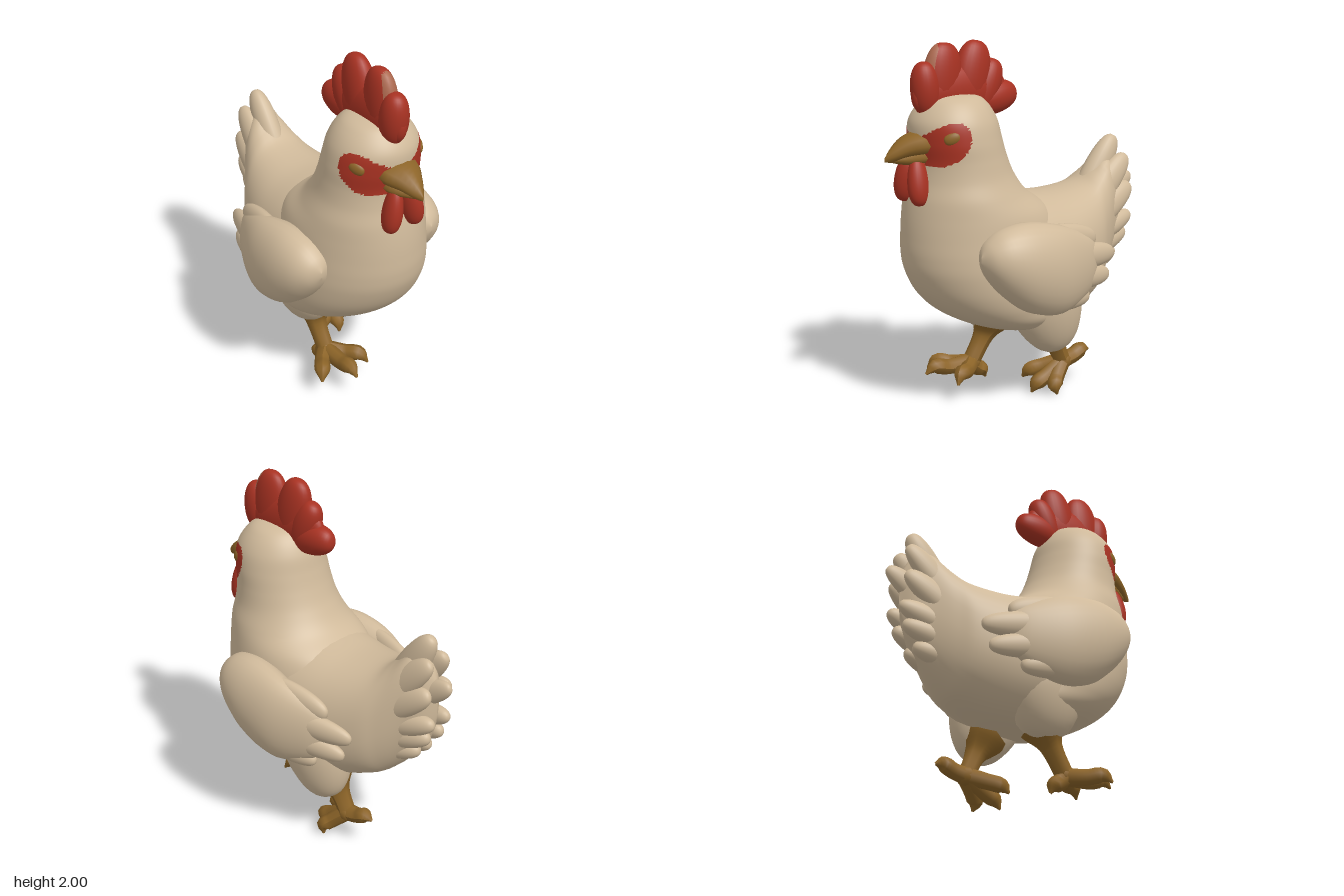
import * as THREE from 'three';
import { mergeVertices } from 'three/addons/utils/BufferGeometryUtils.js';

const paint = (name, color) => {
  const m = new THREE.MeshStandardMaterial({ color });
  m.name = name;
  return m;
};
const V = (p) => new THREE.Vector3(...p);
const mirror = ([x, y, z]) => [-x, y, z];

// Smooth interpolation through rows of numbers
function sample(rows, t) {
  const last = rows.length - 1;
  const i = Math.min(Math.floor(t * last), last - 1), f = t * last - i;
  const at = (k) => rows[Math.max(0, Math.min(last, k))];
  return rows[i].map((b, c) => {
    const a = at(i - 1)[c], d = at(i + 1)[c], e = at(i + 2)[c];
    return b + 0.5 * f * (d - a + f * (2 * a - 5 * b + 4 * d - e + f * (3 * (b - d) + e - a)));
  });
}

// Skin over oval sections; each row is [position, low, high, halfWidth, centreX]
function loft(rows, axis, seg, steps, power = 1) {
  const pos = [], index = [];
  const bend = (v) => Math.sign(v) * Math.abs(v) ** power;
  for (let i = 0; i <= steps; i++) {
    const [t, lo, hi, w, cx = 0] = sample(rows, i / steps);
    for (let j = 0; j < seg; j++) {
      const a = (j / seg) * Math.PI * 2;
      const x = cx + Math.max(w, 0) * bend(Math.cos(a));
      const s = ((hi - lo) / 2) * bend(Math.sin(a)), mid = (lo + hi) / 2;
      if (axis === 'z') pos.push(x, mid + s, t);
      else pos.push(x, t, mid - s);
      if (i < steps) {
        const p = i * seg + j, q = i * seg + ((j + 1) % seg);
        index.push(p, q, q + seg, p, q + seg, p + seg);
      }
    }
  }
  const g = new THREE.BufferGeometry();
  g.setAttribute('position', new THREE.Float32BufferAttribute(pos, 3));
  g.setIndex(index);
  g.computeVertexNormals();
  return g;
}

// Blunt, flattened lobe reaching from a to b; taper widens the b end
function lobe(a, b, width, thick, normal = [1, 0, 0], taper = 0) {
  const A = V(a), B = V(b), len = A.distanceTo(B);
  const Y = B.clone().sub(A).normalize();
  const Z = V(normal).addScaledVector(Y, -V(normal).dot(Y)).normalize();
  const X = new THREE.Vector3().crossVectors(Y, Z);
  let g = new THREE.SphereGeometry(1, 24, 22);
  g.deleteAttribute('uv');
  g.deleteAttribute('normal');
  g = mergeVertices(g);
  const p = g.attributes.position;
  for (let i = 0; i < p.count; i++) {
    const y = p.getY(i), r = Math.max(Math.hypot(p.getX(i), p.getZ(i)), 1e-4);
    const k = r ** -0.25 * (1 + taper * y);
    p.setXYZ(i, p.getX(i) * k * width / 2, y * len / 2, p.getZ(i) * k * thick / 2);
  }
  g.applyMatrix4(new THREE.Matrix4().makeBasis(X, Y, Z).setPosition(A.add(B).multiplyScalar(0.5)));
  g.computeVertexNormals();
  return g;
}

// Tube along points with a radius for each point
function limb(points, radii) {
  const curve = new THREE.CatmullRomCurve3(points.map(V)), n = 14, sides = 8;
  const g = new THREE.TubeGeometry(curve, n, 1, sides);
  const p = g.attributes.position, v = new THREE.Vector3();
  for (let i = 0; i <= n; i++) {
    const c = curve.getPointAt(i / n);
    const r = sample(radii.map((q) => [q]), curve.getUtoTmapping(i / n))[0];
    for (let j = 0; j <= sides; j++) {
      const k = i * (sides + 1) + j;
      v.fromBufferAttribute(p, k).sub(c).multiplyScalar(Math.max(r, 0.003)).add(c);
      p.setXYZ(k, v.x, v.y, v.z);
    }
  }
  g.computeVertexNormals();
  return g;
}

// Give faces whose centre passes the test the second material
function markFaces(g, test) {
  const p = g.attributes.position, old = g.index.array, sets = [[], []];
  for (let i = 0; i < old.length; i += 3) {
    const c = new THREE.Vector3(), f = [old[i], old[i + 1], old[i + 2]];
    f.forEach((k) => c.add(new THREE.Vector3().fromBufferAttribute(p, k)));
    sets[test(c.divideScalar(3)) ? 1 : 0].push(...f);
  }
  g.setIndex([...sets[0], ...sets[1]]);
  g.addGroup(0, sets[0].length, 0);
  g.addGroup(sets[0].length, sets[1].length, 1);
  return g;
}

export function createModel() {
  const cream = paint('cream feathers', 0xd0ba9b);
  const red = paint('red skin', 0xa83222);
  const horn = paint('horn brown', 0x8c6428);
  const pale = paint('pale comb patch', 0xab684e);
  const root = new THREE.Group();
  root.name = 'hen';
  const add = (name, geo, mat) => {
    const m = new THREE.Mesh(geo, mat);
    m.name = name;
    root.add(m);
  };

  // Body running from tail to breast
  add('body', loft([
    [-0.74, 0.95, 1.12, 0], [-0.69, 0.79, 1.24, 0.075], [-0.6, 0.66, 1.3, 0.14], [-0.5, 0.55, 1.225, 0.21],
    [-0.4, 0.48, 1.165, 0.275], [-0.2, 0.41, 1.145, 0.345], [0, 0.39, 1.17, 0.375], [0.2, 0.425, 1.2, 0.37],
    [0.4, 0.52, 1.2, 0.32], [0.55, 0.64, 1.15, 0.2], [0.63, 0.76, 1.05, 0.09], [0.66, 0.88, 0.92, 0],
  ], 'z', 40, 55, 0.88), cream);

  // Breast, neck and head, with red cheeks slanting down to the beak
  const front = loft([
    [0.41, -0.05, 0.12, 0], [0.44, -0.15, 0.25, 0.24], [0.5, -0.2, 0.4, 0.335], [0.58, -0.2, 0.525, 0.37],
    [0.68, -0.2, 0.615, 0.384], [0.8, -0.2, 0.672, 0.384], [0.9, -0.2, 0.69, 0.377], [1.0, -0.2, 0.69, 0.367],
    [1.1, -0.14, 0.683, 0.35], [1.2, 0.0, 0.668, 0.32], [1.3, 0.075, 0.645, 0.285], [1.4, 0.12, 0.635, 0.268],
    [1.5, 0.15, 0.645, 0.258], [1.6, 0.175, 0.64, 0.235], [1.68, 0.22, 0.59, 0.185], [1.725, 0.28, 0.53, 0.12],
    [1.745, 0.39, 0.42, 0],
  ], 'y', 96, 128);
  add('head', markFaces(front, (c) => {
    const dz = c.z - 0.56, dy = c.y - 1.5;
    return Math.abs(c.x) > 0.07 &&
      ((0.73 * dy - 0.68 * dz) / 0.13) ** 2 + ((0.73 * dz + 0.68 * dy) / 0.087) ** 2 < 1;
  }), [cream, red]);

  // Beak
  add('upperBeak', loft([
    [0.54, 1.43, 1.555, 0.11], [0.63, 1.43, 1.555, 0.12], [0.71, 1.425, 1.53, 0.078],
    [0.78, 1.41, 1.48, 0.034], [0.82, 1.415, 1.435, 0],
  ], 'z', 10, 12), horn);
  add('lowerBeak', loft([
    [0.54, 1.39, 1.47, 0.09], [0.63, 1.385, 1.47, 0.095], [0.71, 1.39, 1.45, 0.058], [0.79, 1.41, 1.43, 0],
  ], 'z', 10, 9), horn);

  // Comb
  [[[0, 1.63, 0.56], [0, 1.91, 0.58], 0.16], [[0, 1.6, 0.34], [0, 2.0, 0.25], 0.22],
    [[0, 1.6, 0.27], [0, 1.895, 0.14], 0.17], [[0, 1.67, 0.3], [0, 1.715, 0.01], 0.18],
    [[0, 1.74, 0.65], [0, 1.74, 0.08], 0.3]]
    .forEach(([a, b, w]) => add('combLobe', lobe(a, b, w, 0.15), red));
  add('combFrontLobe', markFaces(lobe([0, 1.6, 0.49], [0, 2.0, 0.45], 0.23, 0.14),
    (c) => c.y > 1.86 && c.z > 0.5 + (1.99 - c.y) * 0.35), [red, pale]);

  // Middle tail feathers
  [[[0, 0.9, -0.35], [0, 1.16, -0.82], 0.15, 0.1], [[0, 0.95, -0.4], [0, 1.4, -0.69], 0.17, 0.14]]
    .forEach(([a, b, w, t]) => add('tailFeather', lobe(a, b, w, t), cream));

  for (const flip of [(p) => p, mirror]) {
    const side = flip === mirror ? 'right' : 'left';
    const feather = (name, mat, a, b, w, t, n, taper) => add(name, lobe(flip(a), flip(b), w, t, flip(n), taper), mat);

    // Fanned tail feathers
    [[[0.09, 0.9, -0.32], [0.06, 1.29, -0.735], 0.17], [[0.12, 0.85, -0.3], [0.08, 1.12, -0.75], 0.17],
      [[0.11, 0.8, -0.3], [0.06, 0.94, -0.77], 0.14], [[0.11, 0.74, -0.3], [0.05, 0.84, -0.74], 0.14],
      [[0.1, 0.66, -0.3], [0.04, 0.73, -0.67], 0.13]]
      .forEach(([a, b, w]) => feather('tailFeather', cream, a, b, w, 0.12, [1, 0, 0.3]));

    // Wing and its long feathers
    const s = flip === mirror ? -1 : 1;
    add(side + 'Wing', loft([
      [-0.3, 0.74, 0.87, 0, 0.36], [-0.2, 0.63, 0.96, 0.065, 0.375], [0, 0.56, 1.05, 0.125, 0.4],
      [0.2, 0.6, 1.09, 0.155, 0.388], [0.35, 0.71, 1.07, 0.14, 0.375], [0.44, 0.82, 1.01, 0.09, 0.365],
      [0.48, 0.91, 0.94, 0, 0.37],
    ].map((r) => [...r.slice(0, 4), r[4] * s]), 'z', 28, 30), cream);
    [[[0.4, 1.0, 0.12], [0.345, 0.92, -0.28], 0.16], [[0.46, 0.88, 0.1], [0.32, 0.815, -0.43], 0.15],
      [[0.46, 0.77, 0.1], [0.33, 0.7, -0.39], 0.14], [[0.44, 0.66, 0.14], [0.37, 0.615, -0.22], 0.13]]
      .forEach(([a, b, w]) => feather(side + 'WingFeather', cream, a, b, w, 0.1, [1, 0, -0.15]));

    // Eye and wattle
    feather(side + 'Eye', horn, [0.178, 1.52, 0.572], [0.218, 1.55, 0.5], 0.065, 0.04, [1, 0, 0.8]);
    feather(side + 'Wattle', red, [0.04, 1.43, 0.655], [0.08, 1.18, 0.66], 0.105, 0.13, [0.3, 0, 1], 0.15);
  }

  // Thighs blending into the belly
  add('rightThigh', lobe([-0.19, 0.82, 0.02], [-0.17, 0.335, 0.08], 0.46, 0.34, [1, 0, 0], -0.15), cream);
  add('leftThigh', lobe([0.19, 0.82, 0.02], [0.2, 0.275, -0.15], 0.44, 0.34, [1, 0, 0], -0.2), cream);

  // Striding legs: shank, then toes fanning from the ankle
  const leg = (side, shank, toes) => {
    const ankle = shank[shank.length - 1];
    add(side + 'Shank', limb(shank, [0.13, 0.062, 0.05]), horn);
    add(side + 'Ankle', new THREE.SphereGeometry(0.056, 10, 8).translate(...ankle), horn);
    toes.forEach((t) => add(side + 'Toe', limb([ankle, ...t], [0.05, 0.045, 0.042, 0.006]), horn));
  };
  leg('right', [[-0.14, 0.41, 0.08], [-0.15, 0.31, 0.12], [-0.15, 0.16, 0.21]], [
    [[-0.15, 0.165, 0.37], [-0.15, 0.185, 0.45], [-0.15, 0.15, 0.51]],
    [[-0.23, 0.15, 0.29], [-0.28, 0.16, 0.36], [-0.31, 0.12, 0.4]],
    [[-0.07, 0.15, 0.29], [-0.02, 0.16, 0.36], [0.01, 0.11, 0.4]],
    [[-0.15, 0.12, 0.17], [-0.15, 0.1, 0.135], [-0.15, 0.05, 0.11]],
  ]);
  leg('left', [[0.14, 0.39, -0.12], [0.135, 0.29, -0.17], [0.13, 0.16, -0.23]], [
    [[0.13, 0.09, -0.11], [0.13, 0.06, -0.05], [0.12, 0.01, -0.02]],
    [[0.18, 0.085, -0.15], [0.21, 0.055, -0.12], [0.22, 0.005, -0.13]],
    [[0.07, 0.13, -0.13], [0.04, 0.11, -0.06], [0.02, 0.07, -0.03]],
    [[0.13, 0.175, -0.31], [0.13, 0.2, -0.37], [0.13, 0.19, -0.42]],
  ]);
  return root;
}
